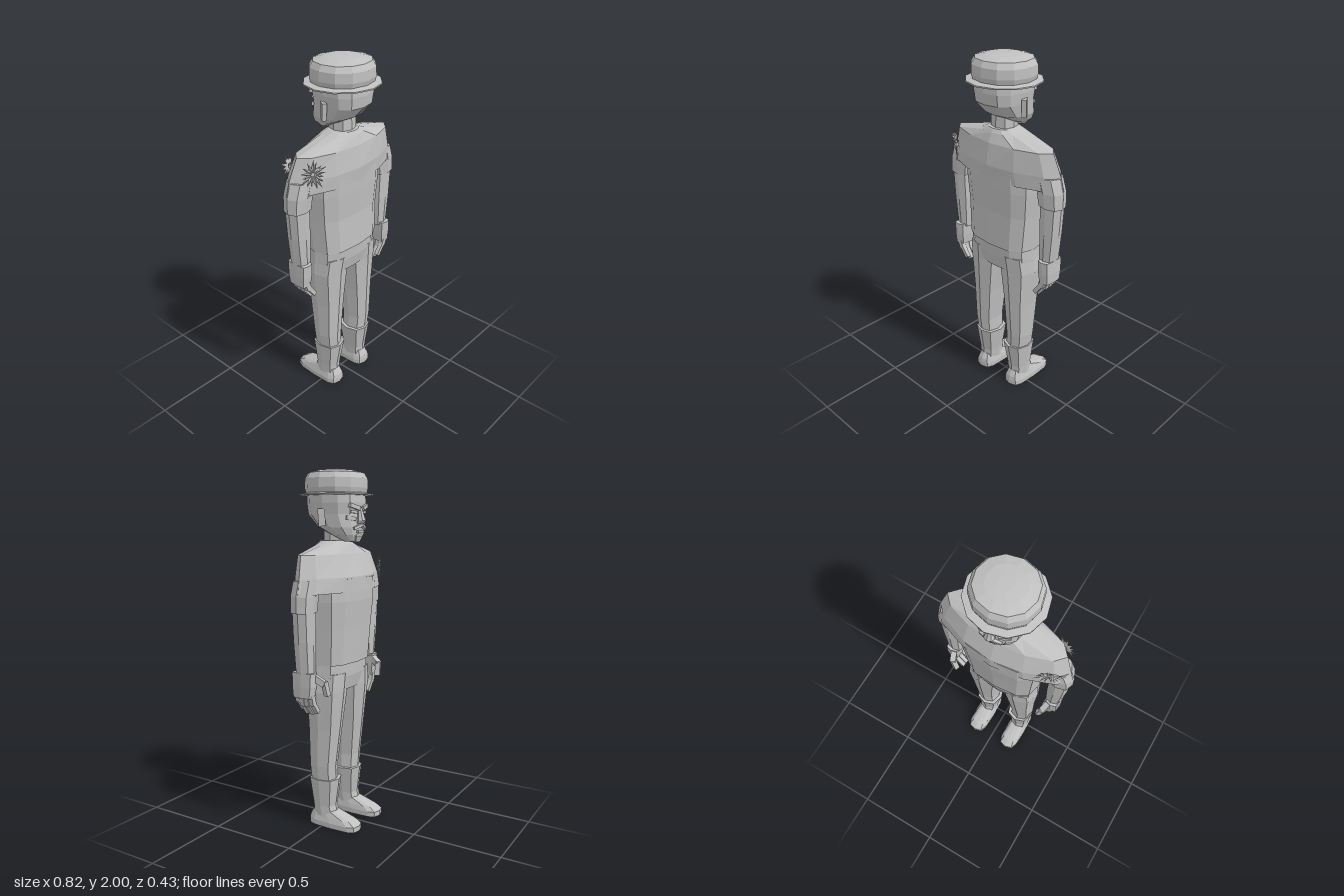
import * as THREE from 'three';

const grey = new THREE.MeshStandardMaterial({ color: 0xc0c0c0 });
grey.name = 'plain grey';

// Flat-shaded mesh
function part(parent, name, geo) {
  const flat = geo.index ? geo.toNonIndexed() : geo;
  flat.computeVertexNormals();
  const mesh = new THREE.Mesh(flat, grey);
  mesh.name = name;
  parent.add(mesh);
  return mesh;
}

// Closed loft, bottom to top. Ring: [y, halfWidth, backZ, frontZ, squareness, centreX]
function loft(parent, name, rings, n = 12) {
  const pos = [], idx = [];
  for (const [y, w, zb, zf, p = 0.8, cx = 0] of rings) {
    const zc = (zb + zf) / 2, d = (zb - zf) / 2;
    for (let i = 0; i < n; i++) {
      const a = (i / n) * Math.PI * 2, c = Math.cos(a), s = Math.sin(a);
      const bend = (v) => (Math.abs(v) < 1e-6 ? 0 : Math.sign(v) * Math.abs(v) ** p);
      pos.push(cx + w * bend(c), y, zc + d * bend(s));
    }
  }
  for (let r = 0; r < rings.length - 1; r++) {
    for (let i = 0; i < n; i++) {
      const a = r * n + i, b = r * n + ((i + 1) % n);
      idx.push(a, a + n, b, b, a + n, b + n);
    }
  }
  const top = (rings.length - 1) * n;
  for (let i = 1; i < n - 1; i++) idx.push(0, i, i + 1, top, top + i + 1, top + i);
  const geo = new THREE.BufferGeometry();
  geo.setAttribute('position', new THREE.Float32BufferAttribute(pos, 3));
  geo.setIndex(idx);
  return part(parent, name, geo);
}

// Box bar running between two points
function bar(parent, name, a, b, w, h) {
  const from = new THREE.Vector3(...a), to = new THREE.Vector3(...b);
  const mesh = part(parent, name, new THREE.BoxGeometry(w, h, from.distanceTo(to)));
  mesh.position.copy(from).lerp(to, 0.5);
  mesh.lookAt(to);
  return mesh;
}

function group(parent, name) {
  const g = new THREE.Group();
  g.name = name;
  parent.add(g);
  return g;
}

function buildTorso(root) {
  loft(root, 'shirtBody', [
    [0.95, 0.222, 0.132, -0.13, 0.7],
    [1.15, 0.235, 0.125, -0.142, 0.7],
    [1.3, 0.247, 0.135, -0.155, 0.7],
    [1.42, 0.25, 0.14, -0.155, 0.75],
  ]);
  loft(root, 'shirtShoulders', [
    [1.35, 0.405, 0.138, -0.158, 1.15],
    [1.43, 0.385, 0.146, -0.155, 1.15],
    [1.55, 0.345, 0.128, -0.105, 1.1],
    [1.6, 0.13, 0.108, -0.08, 0.9],
    [1.62, 0.08, 0.095, -0.06, 0.9],
  ]);
  loft(root, 'hips', [
    [0.8, 0.212, 0.1, -0.1, 0.7],
    [0.88, 0.218, 0.12, -0.118, 0.7],
    [0.97, 0.215, 0.128, -0.122, 0.7],
  ]);
}

function buildArm(root, s) {
  const arm = group(root, s > 0 ? 'leftArm' : 'rightArm');
  loft(arm, 'sleeve', [
    [1.255, 0.072, 0.062, -0.062, 0.8, s * 0.338],
    [1.34, 0.08, 0.068, -0.068, 0.9, s * 0.329],
    [1.42, 0.08, 0.07, -0.07, 1, s * 0.305],
  ], 8);
  loft(arm, 'forearm', [
    [0.92, 0.046, 0.05, -0.052, 0.8, s * 0.325],
    [1.1, 0.058, 0.054, -0.056, 0.8, s * 0.332],
    [1.27, 0.062, 0.056, -0.058, 0.8, s * 0.338],
  ], 8);
  loft(arm, 'palm', [
    [0.8, 0.034, 0.062, -0.055, 0.45, s * 0.337],
    [0.86, 0.038, 0.068, -0.064, 0.45, s * 0.335],
    [0.935, 0.038, 0.07, -0.066, 0.45, s * 0.333],
  ], 8);
  for (let i = 0; i < 4; i++) {
    const z = 0.047 - i * 0.029;
    const drop = i === 0 ? 0.02 : i === 3 ? 0.008 : 0;
    bar(arm, 'fingerBase', [s * 0.335, 0.815, z], [s * 0.318, 0.75 + drop, z], 0.026, 0.03);
    bar(arm, 'fingerTip', [s * 0.32, 0.76 + drop, z], [s * 0.275, 0.7 + drop, z], 0.024, 0.024);
  }
  bar(arm, 'thumbBase', [s * 0.318, 0.91, -0.05], [s * 0.3, 0.875, -0.102], 0.034, 0.034);
  bar(arm, 'thumbTip', [s * 0.3, 0.89, -0.1], [s * 0.278, 0.81, -0.106], 0.03, 0.026);
}

function buildLeg(root, s) {
  const leg = group(root, s > 0 ? 'leftLeg' : 'rightLeg');
  loft(leg, 'trouserLeg', [
    [0.26, 0.066, 0.085, -0.062, 0.8, s * 0.122],
    [0.36, 0.07, 0.09, -0.065, 0.8, s * 0.13],
    [0.58, 0.083, 0.098, -0.09, 0.8, s * 0.124],
    [0.8, 0.107, 0.108, -0.112, 0.8, s * 0.118],
    [0.9, 0.106, 0.118, -0.116, 0.8, s * 0.11],
  ], 8);
  loft(leg, 'bootShaft', [
    [0.06, 0.057, 0.075, -0.075, 0.8, s * 0.122],
    [0.12, 0.06, 0.075, -0.06, 0.8, s * 0.121],
    [0.28, 0.08, 0.1, -0.08, 0.8, s * 0.117],
  ], 8);
  loft(leg, 'shoe', [
    [0, 0.063, 0.1, -0.217, 0.55, s * 0.123],
    [0.03, 0.063, 0.1, -0.217, 0.55, s * 0.123],
    [0.055, 0.056, 0.096, -0.18, 0.6, s * 0.122],
    [0.09, 0.046, 0.075, -0.075, 0.7, s * 0.122],
  ]);
}

function buildHead(root) {
  const head = group(root, 'head');
  loft(head, 'neck', [
    [1.56, 0.07, 0.08, -0.058, 0.8],
    [1.72, 0.064, 0.072, -0.055, 0.8],
  ], 8);
  loft(head, 'skull', [
    [1.615, 0.055, -0.06, -0.125, 0.8],
    [1.65, 0.1, 0.01, -0.137, 0.8],
    [1.69, 0.128, 0.09, -0.142, 0.8],
    [1.76, 0.138, 0.158, -0.138, 0.8],
    [1.82, 0.146, 0.165, -0.145, 0.8],
    [1.87, 0.146, 0.162, -0.142, 0.8],
  ]);
  // Face, looking towards -z
  loft(head, 'nose', [
    [1.712, 0.028, -0.12, -0.16, 1],
    [1.727, 0.03, -0.12, -0.175, 1],
    [1.795, 0.012, -0.12, -0.15, 1],
  ], 8);
  for (const s of [-1, 1]) {
    bar(head, 'ear', [s * 0.143, 1.697, 0.01], [s * 0.147, 1.79, 0.016], 0.024, 0.038);
    bar(head, 'brow', [s * 0.016, 1.79, -0.145], [s * 0.09, 1.808, -0.127], 0.02, 0.022);
    bar(head, 'eye', [s * 0.028, 1.77, -0.136], [s * 0.078, 1.774, -0.124], 0.016, 0.014);
    bar(head, 'cheek', [s * 0.04, 1.735, -0.133], [s * 0.095, 1.742, -0.108], 0.02, 0.02);
    bar(head, 'moustache', [0, 1.704, -0.151], [s * 0.058, 1.684, -0.133], 0.02, 0.016);
  }
  bar(head, 'lowerLip', [-0.028, 1.667, -0.141], [0.028, 1.667, -0.141], 0.014, 0.012);
  loft(head, 'chin', [
    [1.612, 0.03, -0.085, -0.132, 0.8],
    [1.645, 0.045, -0.085, -0.146, 0.8],
    [1.658, 0.035, -0.085, -0.136, 0.8],
  ], 8);

  const hat = group(root, 'hat');
  loft(hat, 'brim', [
    [1.861, 0.208, 0.213, -0.192, 1],
    [1.868, 0.208, 0.213, -0.192, 1],
    [1.875, 0.17, 0.172, -0.152, 1],
  ]);
  loft(hat, 'crown', [
    [1.865, 0.166, 0.17, -0.15, 0.95],
    [1.9, 0.176, 0.18, -0.158, 0.95],
    [1.95, 0.174, 0.178, -0.156, 0.95],
    [1.98, 0.155, 0.16, -0.138, 0.95],
    [1.994, 0.1, 0.108, -0.086, 0.95],
    [2, 0.04, 0.05, -0.03, 1],
  ]);
}

// Torn cloth strips fanned over both faces of the right shoulder
function buildTear(root) {
  let seed = 7;
  const rnd = () => (seed = (seed * 16807) % 2147483647) / 2147483647;
  for (const side of [1, -1]) {
    const tear = group(root, side > 0 ? 'tornSleeveBack' : 'tornSleeveFront');
    tear.position.set(-0.3, 1.47, side > 0 ? 0.078 : -0.085);
    tear.rotation.y = side > 0 ? -0.38 : Math.PI + 0.38;
    for (let i = 0; i < 16; i++) {
      const a = (i / 16) * Math.PI * 2 + rnd() * 0.25;
      const len = 0.045 + rnd() * 0.035;
      const geo = new THREE.ConeGeometry(0.014, len, 3);
      geo.scale(1, 1, 0.4);
      geo.translate(0, len / 2, 0);
      const strip = part(tear, 'clothStrip', geo);
      strip.rotation.set(0.1 + rnd() * 0.2, 0, a, 'ZXY');
      strip.position.set(-Math.sin(a) * 0.012, Math.cos(a) * 0.012, 0.004);
    }
  }
}

export function createModel() {
  const root = new THREE.Group();
  root.name = 'standingMan';
  buildTorso(root);
  for (const s of [-1, 1]) {
    buildArm(root, s);
    buildLeg(root, s);
  }
  buildHead(root);
  buildTear(root);
  return root;
}
